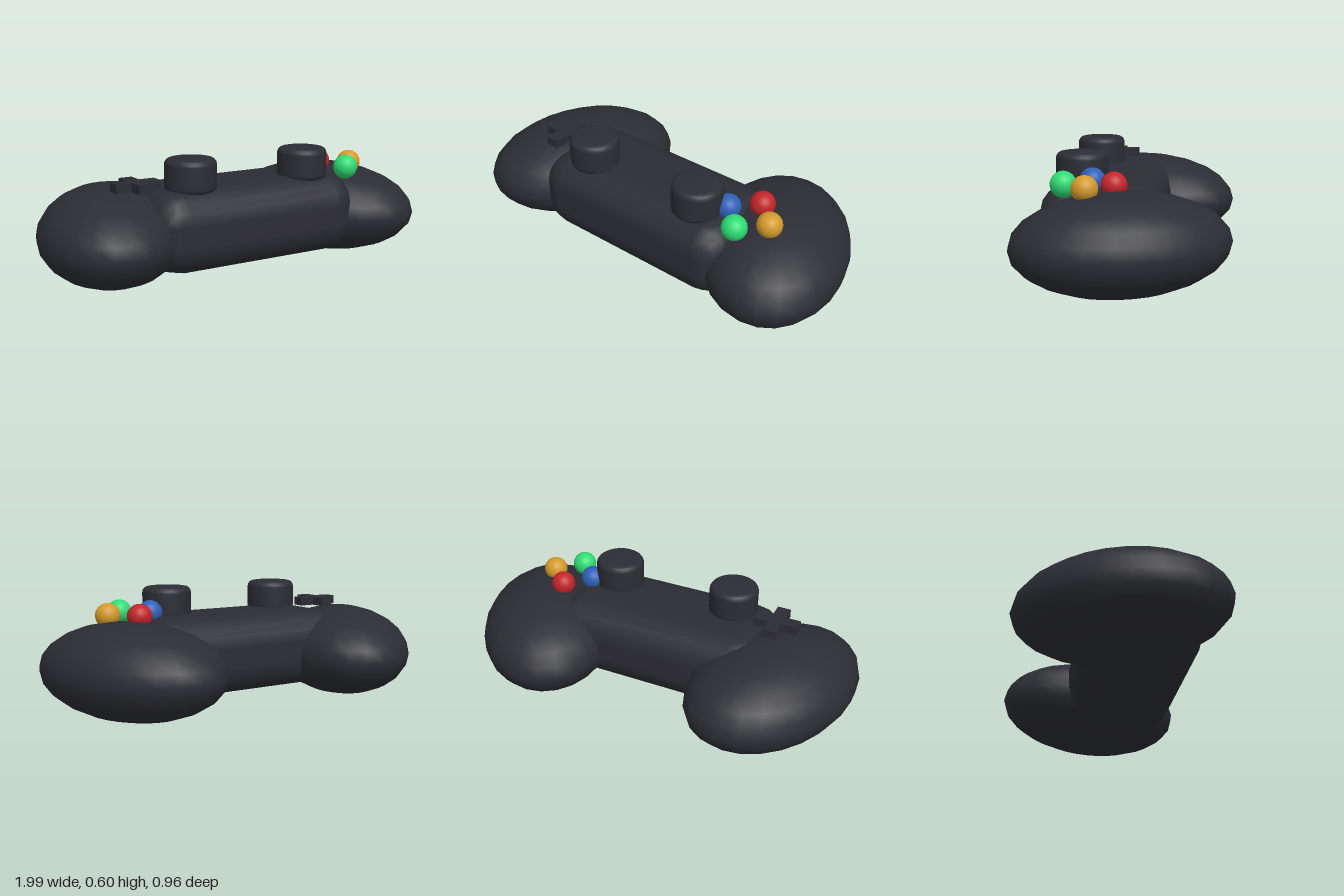
import * as THREE from 'three';
import { RoundedBoxGeometry } from 'three/addons/geometries/RoundedBoxGeometry.js';

const flat = (name, color) => {
  const m = new THREE.MeshStandardMaterial({ color });
  m.name = name;
  return m;
};

export function createModel() {
  const group = new THREE.Group();
  const charcoal = flat('charcoal', 0x2c2d34);
  const red = flat('red', 0xc22529);
  const amber = flat('amber', 0xd39a2b);
  const green = flat('green', 0x2edb74);
  const blue = flat('blue', 0x2f5fb8);

  const add = (name, geometry, material, x, y, z) => {
    const mesh = new THREE.Mesh(geometry, material);
    mesh.name = name;
    mesh.position.set(x, y, z);
    group.add(mesh);
    return mesh;
  };

  // Central body
  add('body', new RoundedBoxGeometry(1.12, 0.39, 0.56, 2, 0.15), charcoal, 0, 0.27, 0.13);

  // Thumb stick profile: short cylinder with rounded rims
  const r = 0.122, h = 0.16, b = 0.03;
  const profile = [new THREE.Vector2(0, 0)];
  for (let i = 0; i <= 4; i++) {
    const a = (i / 4) * Math.PI / 2;
    profile.push(new THREE.Vector2(r - b + b * Math.sin(a), b - b * Math.cos(a)));
  }
  for (let i = 0; i <= 4; i++) {
    const a = (i / 4) * Math.PI / 2;
    profile.push(new THREE.Vector2(r - b + b * Math.cos(a), h - b + b * Math.sin(a)));
  }
  profile.push(new THREE.Vector2(0, h));
  const stick = new THREE.LatheGeometry(profile, 32);

  // Mirrored grips (stretched, toed-out spheres) and thumb sticks
  const ball = new THREE.SphereGeometry(1, 24, 12);
  for (const [side, s] of [['left', 1], ['right', -1]]) {
    const grip = add(side + 'Grip', ball, charcoal, s * 0.62, 0.235, 0);
    grip.scale.set(0.347, 0.231, 0.503);
    grip.rotation.y = s * 0.4;
    add(side + 'ThumbStick', stick, charcoal, s * 0.315, 0.44, 0.223);
  }

  // Direction pad: a plus shape extruded upward
  const L = 0.11, w = 0.033;
  const plus = new THREE.Shape([
    [w, L], [-w, L], [-w, w], [-L, w], [-L, -w], [-w, -w],
    [-w, -L], [w, -L], [w, -w], [L, -w], [L, w], [w, w],
  ].map(([x, y]) => new THREE.Vector2(x, y)));
  const padGeometry = new THREE.ExtrudeGeometry(plus, { depth: 0.043, bevelEnabled: false });
  padGeometry.rotateX(-Math.PI / 2);
  add('directionPad', padGeometry, charcoal, -0.565, 0.462, 0.16);

  // Diamond of round buttons
  const button = new THREE.SphereGeometry(0.06, 24, 16);
  const buttons = [
    ['rearButton', red, 0, -1], ['outerButton', amber, 1, 0],
    ['frontButton', green, 0, 1], ['innerButton', blue, -1, 0],
  ];
  for (const [name, material, dx, dz] of buttons) {
    add(name, button, material, 0.555 + dx * 0.112, 0.483, 0.156 + dz * 0.113);
  }
  return group;
}
